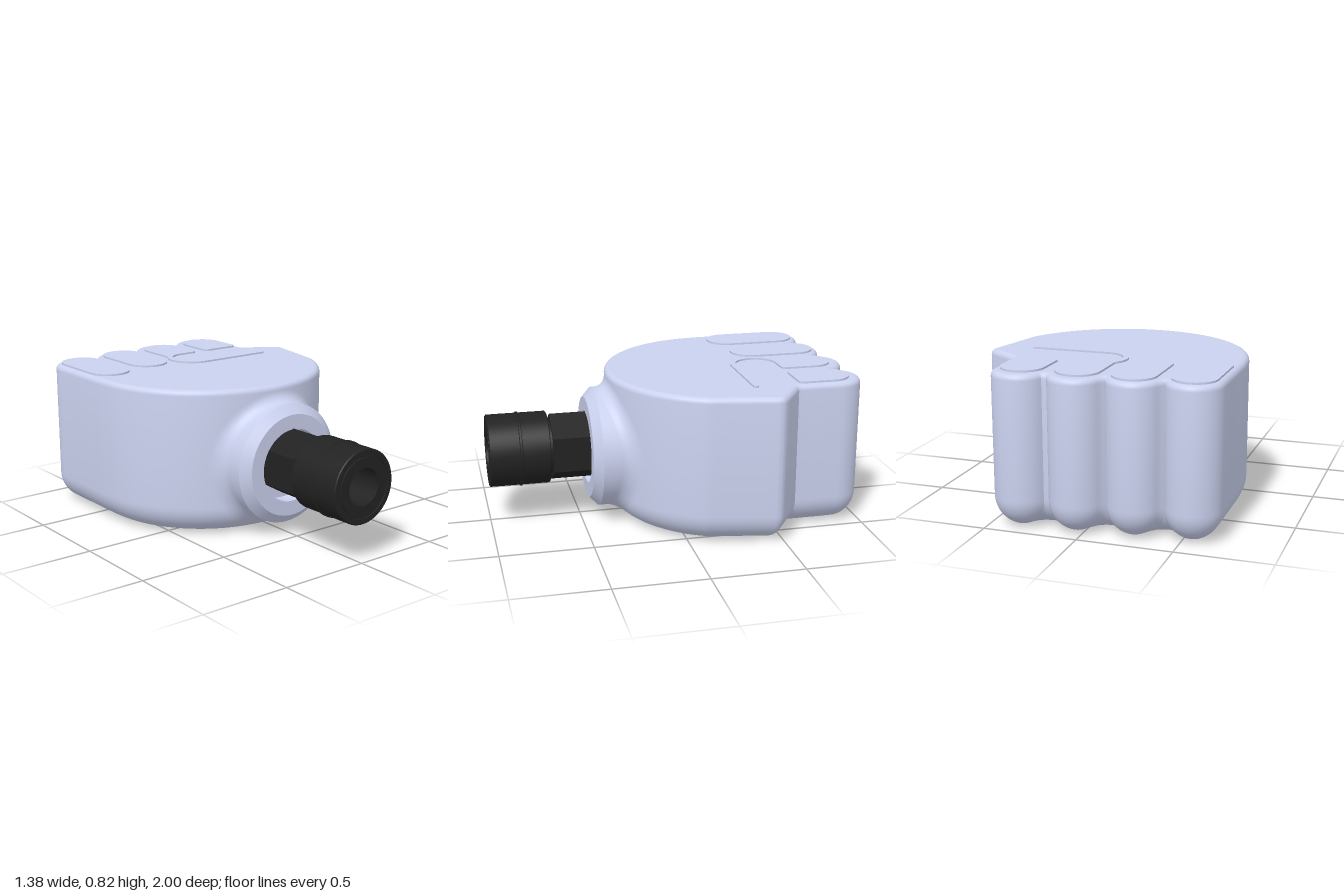
import * as THREE from 'three';
import { toCreasedNormals } from 'three/addons/utils/BufferGeometryUtils.js';

const shell = new THREE.MeshStandardMaterial({ color: 0xcad1ee });
const black = new THREE.MeshStandardMaterial({ color: 0x222222 });
const HEIGHT = 0.81, BOTTOM_R = 0.16, TOP_R = 0.03;
const PALM = { x: -0.01, z: -0.34, r: 0.675 };
const FINGER_R = 0.147;
const FINGERS = [[-0.543, -0.793], [-0.25, -0.823], [0.043, -0.853], [0.34, -0.853]];

function mesh(name, geometry, material) {
  const m = new THREE.Mesh(geometry, material);
  m.name = name;
  return m;
}

// Closed fist outline as [x, z] points
function fistOutline() {
  const pts = [];
  const line = (x0, z0, x1, z1, n) => {
    for (let i = 0; i < n; i++) pts.push([x0 + (x1 - x0) * i / n, z0 + (z1 - z0) * i / n]);
  };
  const arc = (x, z, r, a0, a1, n) => {
    for (let i = 0; i <= n; i++) {
      const a = THREE.MathUtils.degToRad(a0 + (a1 - a0) * i / n);
      pts.push([x + r * Math.cos(a), z + r * Math.sin(a)]);
    }
  };
  line(-0.688, -0.36, -0.69, -0.78, 20);
  FINGERS.forEach(([x, z], i) => {
    arc(x, z, FINGER_R, i ? 203 : 180, i < 3 ? 337 : 360, 24);
    if (i < 3) {
      // small rounded groove between fingers
      const next = FINGERS[i + 1];
      pts.push([(x + next[0]) / 2, (z + next[1]) / 2 - 0.055]);
    }
  });
  line(0.487, -0.84, 0.487, -0.61, 12);
  line(0.487, -0.61, 0.658, -0.495, 12);
  arc(0.636, -0.447, 0.05, -57, 12, 8);
  line(0.683, -0.425, 0.618, -0.1, 16);
  arc(PALM.x, PALM.z, PALM.r, 22, 178, 72);
  return pts;
}

function distanceToOutline(pts, x, z) {
  let best = Infinity;
  for (let i = 0; i < pts.length; i++) {
    const [ax, az] = pts[i], [bx, bz] = pts[(i + 1) % pts.length];
    const dx = bx - ax, dz = bz - az;
    const t = THREE.MathUtils.clamp(((x - ax) * dx + (z - az) * dz) / (dx * dx + dz * dz || 1), 0, 1);
    best = Math.min(best, Math.hypot(x - ax - t * dx, z - az - t * dz));
  }
  return best;
}

// Move an outline point inward until it lies a distance d from the outline
function inset(pts, [x, z], d) {
  const tx = Math.sign(x) * Math.min(Math.abs(x) * 0.95, 0.3) - x, tz = -0.4 - z;
  const len = Math.hypot(tx, tz);
  let t = 0;
  for (let i = 0; i < 80 && t < len; i++) {
    const gap = d - distanceToOutline(pts, x + tx * t / len, z + tz * t / len);
    if (gap < 0.0003) break;
    t += gap;
  }
  return [x + tx * t / len, z + tz * t / len];
}

// Fist: outline swept upward with a large bottom and small top rounding
function makeFist() {
  const outline = fistOutline(), n = outline.length;
  const levels = [];
  for (let i = 0; i <= 14; i++) {
    const a = i / 14 * Math.PI / 2;
    levels.push([BOTTOM_R * (1 - Math.sin(a)), BOTTOM_R * (1 - Math.cos(a))]);
  }
  for (let i = 0; i <= 5; i++) {
    const a = i / 5 * Math.PI / 2;
    levels.push([TOP_R * (1 - Math.cos(a)), HEIGHT - TOP_R * (1 - Math.sin(a))]);
  }
  const rings = levels.map(([d]) => outline.map(p => inset(outline, p, d)));
  const pos = [], index = [];
  rings.forEach((ring, j) => ring.forEach(([x, z], i) => {
    pos.push(x, levels[j][1], z);
    if (j === rings.length - 1) return;
    const a = j * n + i, b = j * n + (i + 1) % n;
    index.push(a, a + n, b + n, a, b + n, b);
  }));
  const wall = new THREE.BufferGeometry();
  wall.setAttribute('position', new THREE.Float32BufferAttribute(pos, 3));
  wall.setIndex(index);

  const cap = (ring, s) => new THREE.ShapeGeometry(new THREE.Shape(ring.map(([x, z]) => new THREE.Vector2(x, s * z))))
    .rotateX(-s * -Math.PI / 2);
  const group = new THREE.Group();
  group.name = 'fist';
  group.add(
    mesh('fistWall', toCreasedNormals(wall, 0.6), shell),
    mesh('fistTop', cap(rings[rings.length - 1], -1).translate(0, HEIGHT, 0), shell),
    mesh('fistBottom', cap(rings[0], 1), shell));
  return group;
}

// Raised pad on the upper face; shape is drawn in x and -z
function pad(name, shape) {
  const g = new THREE.ExtrudeGeometry(shape, { depth: 0.02, bevelEnabled: false, curveSegments: 16 });
  return mesh(name, g.rotateX(-Math.PI / 2).translate(0, HEIGHT - 0.01, 0), shell);
}

// Finger pad with a round tip and a lower end of corner radius r
function fingerShape(x, tip, base, r) {
  const w = 0.115, s = new THREE.Shape();
  s.moveTo(x + w, tip - w);
  s.absarc(x, tip - w, w, 0, Math.PI, false);
  s.lineTo(x - w, base + r);
  s.absarc(x - w + r, base + r, r, Math.PI, Math.PI * 1.5, false);
  s.absarc(x + w - r, base + r, r, Math.PI * 1.5, Math.PI * 2, false);
  s.closePath();
  return s;
}

// Middle finger pad running into the thin curved line around the thumb
function thumbLineShape() {
  const s = new THREE.Shape();
  s.moveTo(0.16, 0.82);
  s.absarc(0.045, 0.82, 0.115, 0, Math.PI, false);
  s.lineTo(-0.07, 0.61);
  s.absarc(0.04, 0.51, 0.145, Math.PI * 0.77, Math.PI * 1.5, false);
  s.absarc(0.46, 0.38, 0.015, -Math.PI / 2, Math.PI / 2, false);
  s.absarc(0.04, 0.51, 0.115, Math.PI * 1.5, Math.PI / 2, true);
  s.absarc(0.13, 0.655, 0.03, -Math.PI / 2, 0, false);
  s.closePath();
  return s;
}

// Turned part along z from a [radius, z] profile
function turned(name, profile, y, material) {
  const g = new THREE.LatheGeometry(profile.map(p => new THREE.Vector2(...p)), 64);
  return mesh(name, toCreasedNormals(g.rotateX(Math.PI / 2).translate(0, y, 0), 0.5), material);
}

// Concave blend between collar and the curved palm
function makeBlend() {
  const N = 72, K = 8, R = 0.06, pos = [], index = [];
  for (let k = 0; k <= K; k++) for (let i = 0; i < N; i++) {
    const u = k / K * Math.PI / 2, a = i / N * Math.PI * 2;
    const r = 0.33 + R * (1 - Math.sin(u));
    const x = r * Math.cos(a), y = Math.max(0.002, 0.39 + r * Math.sin(a));
    const drop = Math.max(0, BOTTOM_R - y);
    const palmR = PALM.r - BOTTOM_R + Math.sqrt(BOTTOM_R ** 2 - drop ** 2);
    pos.push(x, y, PALM.z + Math.sqrt(palmR ** 2 - (x - PALM.x) ** 2) + R * (1 - Math.cos(u)));
    if (k === K) continue;
    const p = k * N + i, q = k * N + (i + 1) % N;
    index.push(p, q, q + N, p, q + N, p + N);
  }
  const g = new THREE.BufferGeometry();
  g.setAttribute('position', new THREE.Float32BufferAttribute(pos, 3));
  g.setIndex(index);
  g.computeVertexNormals();
  return mesh('collarBlend', g, shell);
}

// Hexagonal nut with a bore
function makeNut() {
  const corners = [...Array(6).keys()].map(i =>
    new THREE.Vector2(0.19 * Math.sin(i * Math.PI / 3), 0.19 * Math.cos(i * Math.PI / 3)));
  const hex = new THREE.Shape(corners);
  hex.holes.push(new THREE.Path().absarc(0, 0, 0.1, 0, Math.PI * 2, true));
  const g = new THREE.ExtrudeGeometry(hex, { depth: 0.295, bevelEnabled: false, curveSegments: 24 });
  return mesh('hexNut', g.translate(0, 0.405, 0.36), black);
}

export function createModel() {
  const model = new THREE.Group();
  model.name = 'fistConnector';
  model.add(makeFist());

  model.add(
    pad('littleFingerPad', fingerShape(-0.543, 0.905, 0.385, 0.114)),
    pad('ringFingerPad', fingerShape(-0.247, 0.935, 0.445, 0.114)),
    pad('middleFingerPadAndThumbLine', thumbLineShape()),
    pad('indexFingerPad', fingerShape(0.34, 0.935, 0.625, 0.03)));

  // Wrist collar with a recess for the connector
  model.add(makeBlend(), turned('collar',
    [[0.33, 0.1], [0.33, 0.41], [0.28, 0.456], [0.2, 0.456], [0.2, 0.37], [0, 0.37]], 0.39, shell));

  // Connector
  model.add(makeNut(), turned('connectorSleeve', [
    [0.1, 0.65], [0.15, 0.65], [0.15, 0.672], [0.194, 0.672], [0.198, 0.676], [0.198, 0.822],
    [0.204, 0.825], [0.204, 0.835], [0.198, 0.838], [0.198, 0.995], [0.193, 1], [0.168, 1],
    [0.168, 0.99], [0.155, 0.99], [0.155, 1], [0.1, 1], [0.1, 0.65]], 0.407, black));
  return model;
}
